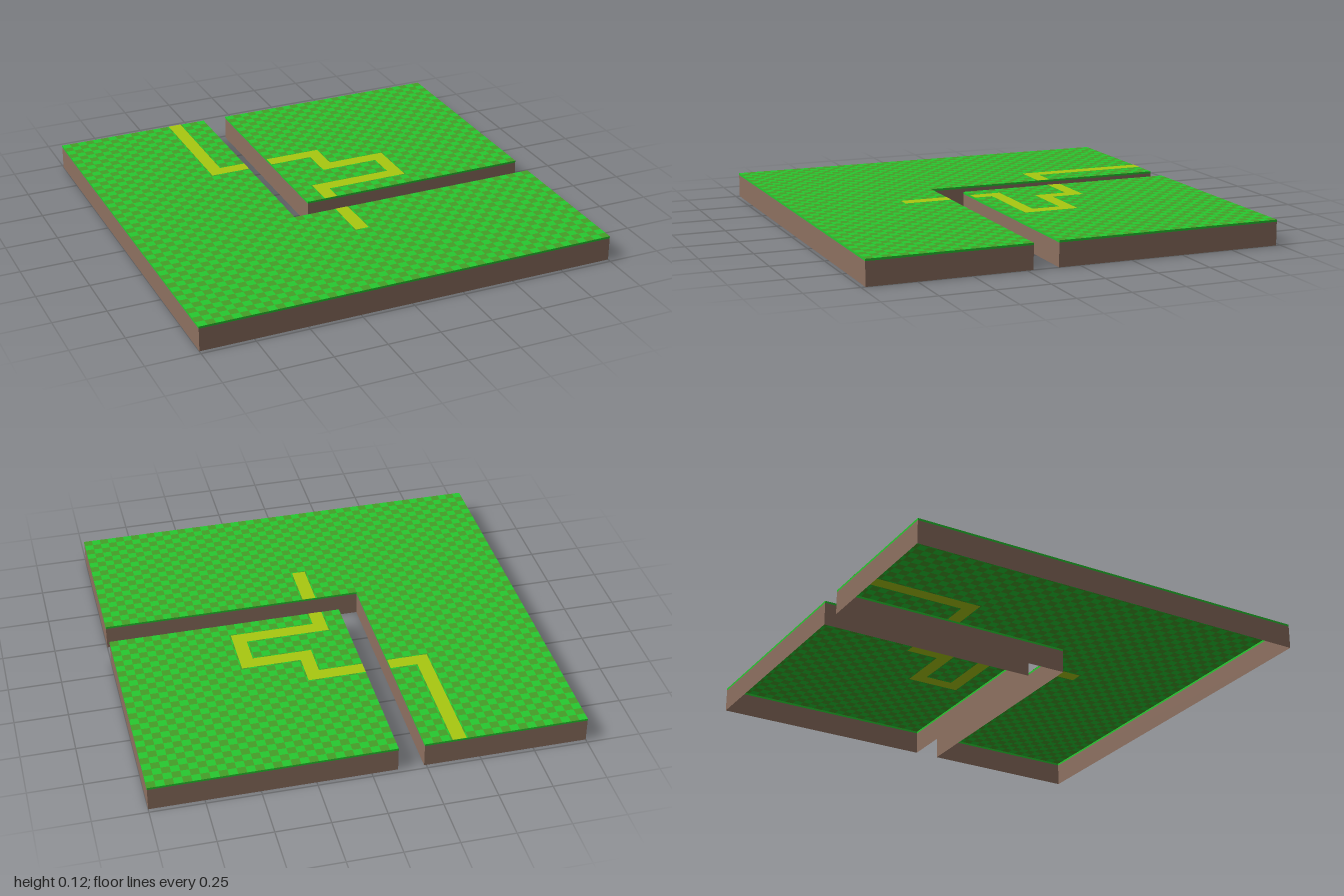
import * as THREE from 'three';
import { mergeGeometries } from 'three/addons/utils/BufferGeometryUtils.js';

const TOP = 0.12, RIM = 0.11, TILE = 0.04;
const HX = 1, HZ = 0.98;

// Outlines of the two land pieces, as [x, z] corners
const mainland = [[-HX, HZ], [HX, HZ], [HX, 0.22], [-0.24, 0.22], [-0.24, -HZ], [-HX, -HZ]];
const island = [[-0.12, 0.1], [HX, 0.1], [HX, -HZ], [-0.12, -HZ]];

// Path strips: x0, x1, z0, z1
const strips = {
  mainland: [[-0.432, -0.368, -HZ, -0.412], [-0.432, -0.24, -0.412, -0.348], [-0.032, 0.032, 0.22, 0.452]],
  island: [
    [-0.12, 0.152, -0.412, -0.348], [0.088, 0.152, -0.348, -0.252],
    [0.088, 0.432, -0.252, -0.188], [0.368, 0.432, -0.188, -0.052],
    [-0.032, 0.432, -0.052, 0.012], [-0.032, 0.032, 0.012, 0.1],
  ],
};

function mat(color) {
  return new THREE.MeshStandardMaterial({ color, side: THREE.DoubleSide, roughness: 1 });
}

function mesh(name, parts, material) {
  const m = new THREE.Mesh(mergeGeometries(parts), material);
  m.name = name;
  return m;
}

// Flat rectangle facing up
function flat(x0, x1, z0, z1, y) {
  return new THREE.PlaneGeometry(x1 - x0, z1 - z0)
    .rotateX(-Math.PI / 2).translate((x0 + x1) / 2, y, (z0 + z1) / 2);
}

// Upright band following an outline, facing outward
function band(outline, y0, y1) {
  return outline.map(([ax, az], i) => {
    const [bx, bz] = outline[(i + 1) % outline.length];
    const dx = bx - ax, dz = bz - az;
    return new THREE.PlaneGeometry(Math.hypot(dx, dz), y1 - y0)
      .rotateY(Math.atan2(-dz, dx))
      .translate((ax + bx) / 2, (y0 + y1) / 2, (az + bz) / 2);
  });
}

// Which land a tile centre lies on, or null for the channel
function landAt(x, z) {
  if (x < -0.24 || z > 0.22) return 'mainland';
  return x > -0.12 && z < 0.1 ? 'island' : null;
}

export function createModel() {
  const model = new THREE.Group();
  model.name = 'terrain';
  const soil = mat(0x8d7060), light = mat(0x26c92f), dark = mat(0x459f28), sand = mat(0xa9c810);

  // Checkered grass tiles
  const tiles = { mainland: [[], []], island: [[], []] };
  for (let i = 0; i < 50; i++) {
    for (let j = 0; j < 49; j++) {
      const x = -HX + i * TILE, z = -HZ + j * TILE;
      const land = landAt(x + TILE / 2, z + TILE / 2);
      if (land) tiles[land][(i + j) % 2].push(flat(x, x + TILE, z, z + TILE, TOP));
    }
  }

  for (const [name, outline] of Object.entries({ mainland, island })) {
    const land = new THREE.Group();
    land.name = name;
    land.add(
      mesh('soilWalls', band(outline, 0, RIM), soil),
      mesh('grassRim', band(outline, RIM, TOP), light),
      mesh('lightGrass', tiles[name][0], light),
      mesh('darkGrass', tiles[name][1], dark),
      // The path shows on both faces of the thin ground
      mesh('path', strips[name].flatMap((s) => [flat(...s, TOP + 0.001), flat(...s, TOP - 0.001)]), sand),
    );
    model.add(land);
  }
  return model;
}
